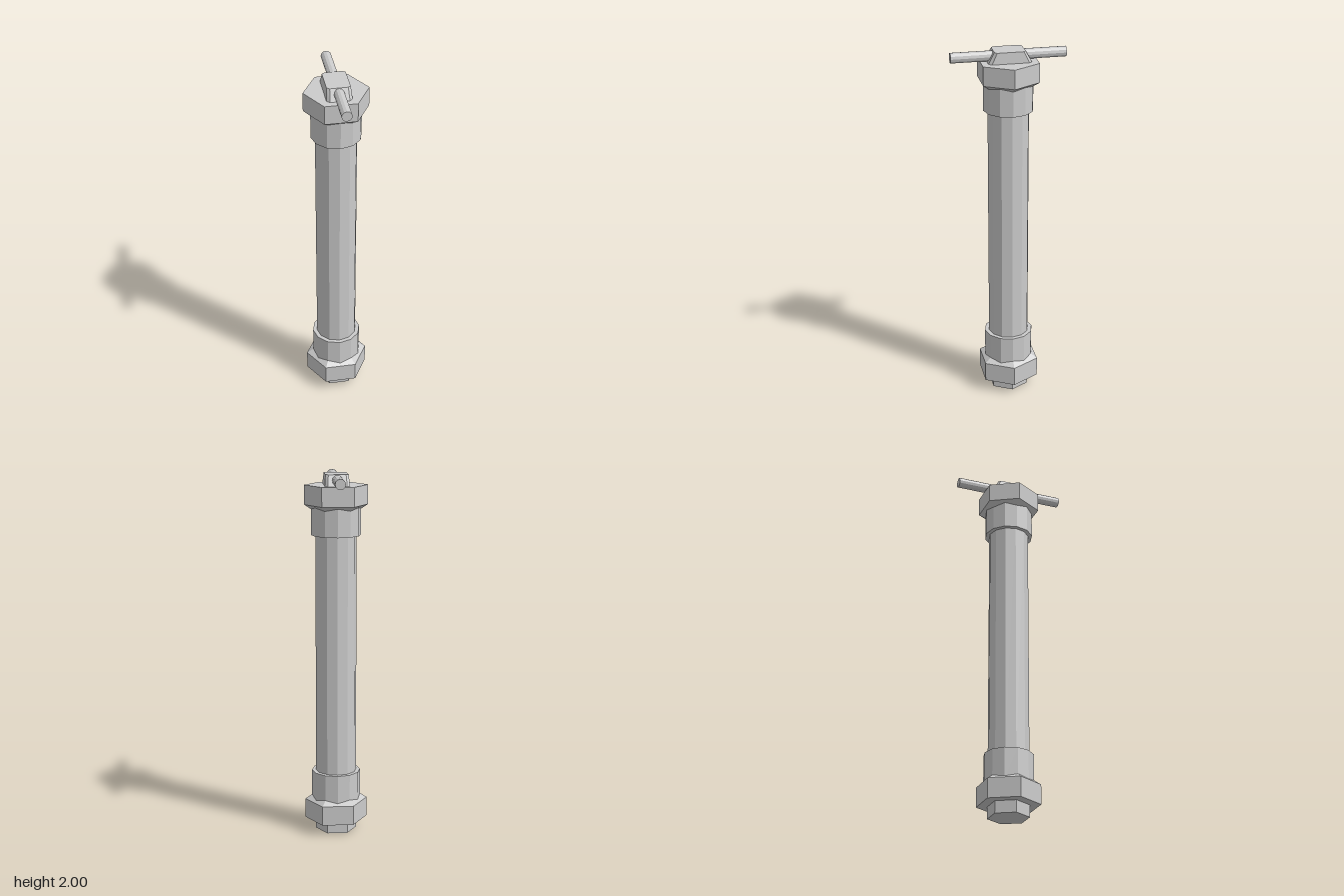
import * as THREE from 'three';

export function createModel() {
  const model = new THREE.Group();
  const material = new THREE.MeshStandardMaterial({ color: 0xcccccc, flatShading: true });

  function add(name, geometry) {
    const mesh = new THREE.Mesh(geometry, material);
    mesh.name = name;
    model.add(mesh);
    return mesh;
  }

  // Upright prism or frustum from y0 to y1, with a corner on the x axis
  function prism(name, sides, rBottom, rTop, y0, y1) {
    const g = new THREE.CylinderGeometry(rTop, rBottom, y1 - y0, sides, 1, false, Math.PI / 2);
    return add(name, g.translate(0, (y0 + y1) / 2, 0));
  }

  // Long pipe with a collar at each end
  prism('pipe', 12, 0.112, 0.112, 0.3, 1.72);
  prism('lowerCollar', 12, 0.135, 0.135, 0.17, 0.345);
  prism('upperCollar', 12, 0.135, 0.135, 1.67, 1.84);

  // Hexagonal caps, bevelled towards the collars
  const capR = 0.173, bevelR = 0.115;
  prism('lowerCap', 6, capR, capR, 0.066, 0.175);
  prism('lowerCapBevel', 6, capR, bevelR, 0.175, 0.213);
  prism('upperCap', 6, capR, capR, 1.835, 1.94);
  prism('upperCapBevel', 6, bevelR, capR, 1.797, 1.835);

  // Small hexagonal plug underneath
  prism('bottomPlug', 6, 0.113, 0.113, 0, 0.066);

  // Chamfered block on top, tapering mostly along z
  const hx = 0.067, hz = 0.115, c = 0.016, height = 0.06;
  const outline = new THREE.Shape([
    [hx, -hz + c], [hx, hz - c], [hx - c, hz], [-hx + c, hz],
    [-hx, hz - c], [-hx, -hz + c], [-hx + c, -hz], [hx - c, -hz],
  ].map(([x, y]) => new THREE.Vector2(x, y)));
  const block = new THREE.ExtrudeGeometry(outline, { depth: height, bevelEnabled: false });
  block.rotateX(-Math.PI / 2);
  const p = block.attributes.position;
  for (let i = 0; i < p.count; i++) {
    if (p.getY(i) > height / 2) {
      p.setX(i, p.getX(i) * 0.925);
      p.setZ(i, p.getZ(i) * 0.715);
    }
  }
  block.computeVertexNormals();
  add('handleBlock', block.translate(0, 1.94, 0));

  // Crossbar through the block
  const bar = new THREE.CylinderGeometry(0.028, 0.028, 0.616, 12);
  add('crossbar', bar.rotateX(Math.PI / 2).translate(0, 1.97, 0));

  return model;
}
